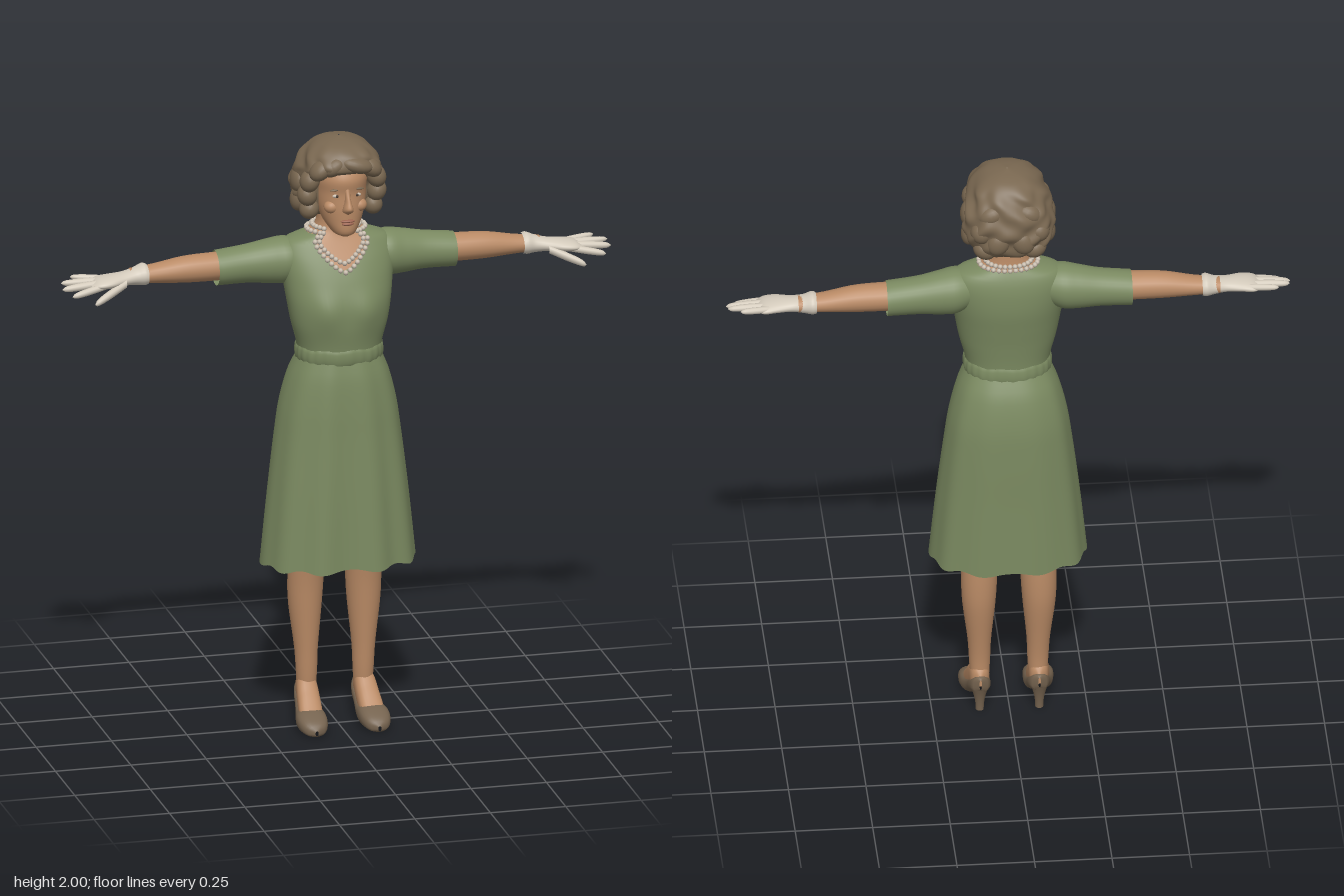
import * as THREE from 'three';
import { mergeGeometries } from 'three/addons/utils/BufferGeometryUtils.js';

const paint = (name, color, side = THREE.FrontSide) => {
  const m = new THREE.MeshStandardMaterial({ color, side });
  m.name = name;
  return m;
};

// Smooth interpolation of table rows; the first column is the key, ascending.
function at(rows, k) {
  let i = 0;
  while (i < rows.length - 2 && k > rows[i + 1][0]) i++;
  const a = rows[i], b = rows[i + 1], p = rows[i - 1] || a, n = rows[i + 2] || b;
  const h = b[0] - a[0], t = THREE.MathUtils.clamp((k - a[0]) / h, 0, 1);
  return a.map((_, c) => {
    const ma = ((b[c] - p[c]) / (b[0] - p[0])) * h, mb = ((n[c] - a[c]) / (n[0] - a[0])) * h;
    const d = b[c] - a[c];
    return a[c] + t * (ma + t * (3 * d - 2 * ma - mb + t * (ma + mb - 2 * d)));
  });
}

// Closed tube-like surface from point(u, v): u goes round, v runs along.
function skin(point, nu, nv) {
  const pos = [], idx = [];
  for (let j = 0; j <= nv; j++)
    for (let i = 0; i < nu; i++) pos.push(...point((i / nu) * Math.PI * 2, j / nv));
  for (let j = 0; j < nv; j++)
    for (let i = 0; i < nu; i++) {
      const a = j * nu + i, b = j * nu + ((i + 1) % nu);
      idx.push(a, b, a + nu, b, b + nu, a + nu);
    }
  const g = new THREE.BufferGeometry();
  g.setAttribute('position', new THREE.Float32BufferAttribute(pos, 3));
  g.setIndex(idx);
  g.computeVertexNormals();
  return g;
}

const bend = (v, e) => Math.sign(v) * Math.abs(v) ** e;
const span = (rows, v) => THREE.MathUtils.lerp(rows[0][0], rows[rows.length - 1][0], v);

// Point on an upright body; rows are [y, half width, front z, back z].
function bodyPoint(rows, u, y, e = 1) {
  const [, w, f, b] = at(rows, y);
  return [w * bend(Math.sin(u), e), y, (f + b) / 2 + ((f - b) / 2) * bend(Math.cos(u), e)];
}
const upright = (rows, e = 1, nu = 40, nv = 32) =>
  skin((u, v) => bodyPoint(rows, u, span(rows, v), e), nu, nv);

// Limb along x; rows are [x, centre y, centre z, radius y, radius z].
const alongX = (rows, nu = 20, nv = 20) => skin((u, v) => {
  const [x, y, z, ry, rz] = at(rows, span(rows, v));
  return [x, y + ry * Math.cos(u), z + rz * Math.sin(u)];
}, nu, nv);

// Foot along z; rows are [z, centre x, half width, bottom y, top y].
const alongZ = (rows) => skin((u, v) => {
  const [z, x, w, lo, hi] = at(rows, span(rows, v));
  return [x - w * bend(Math.sin(u), 0.8), (lo + hi) / 2 + ((hi - lo) / 2) * bend(Math.cos(u), 0.8), z];
}, 24, 28);

function blob([x, y, z], [rx, ry, rz], tilt = 0) {
  return new THREE.SphereGeometry(1, 20, 14).scale(rx, ry, rz).rotateZ(tilt).translate(x, y, z);
}

function mirrored(geo) {
  const g = geo.clone().scale(-1, 1, 1), ix = g.index;
  for (let i = 0; i < ix.count; i += 3) {
    const a = ix.getX(i);
    ix.setX(i, ix.getX(i + 1));
    ix.setX(i + 1, a);
  }
  return g;
}

export function createModel() {
  const model = new THREE.Group();
  const green = paint('dress green', 0x7a8960, THREE.DoubleSide);
  const flesh = paint('skin', 0xb98a65);
  const brown = paint('hair brown', 0x7a6851);
  const leather = paint('shoe brown', 0x75634f);
  const cloth = paint('glove ivory', 0xd3cabb);
  const pearl = paint('pearl', 0xc9bdae);
  const lip = paint('lip', 0x9c6450);
  const dark = paint('iris', 0x4a3b30);

  const add = (name, geo, mat) => {
    const m = new THREE.Mesh(geo, mat);
    m.name = name;
    model.add(m);
  };
  const pair = (name, geo, mat) => {
    add('left ' + name, geo, mat);
    add('right ' + name, mirrored(geo), mat);
  };

  // Torso: one surface, split at the scooped neckline into bodice and skin
  const torso = [
    [1.25, 0.135, 0.122, -0.097], [1.30, 0.138, 0.126, -0.095], [1.38, 0.158, 0.136, -0.102],
    [1.45, 0.170, 0.134, -0.112], [1.52, 0.180, 0.113, -0.121], [1.58, 0.189, 0.086, -0.120],
    [1.62, 0.186, 0.064, -0.113], [1.65, 0.160, 0.048, -0.102], [1.668, 0.100, 0.040, -0.092],
    [1.69, 0.068, 0.035, -0.085], [1.76, 0.060, 0.035, -0.080]];
  const torsoPoint = (u, y) => {
    const p = bodyPoint(torso, u, y, 0.9);
    if (p[2] > 0) p[2] += 0.011 * Math.exp(-(((Math.abs(p[0]) - 0.07) / 0.045) ** 2) - ((y - 1.43) / 0.06) ** 2);
    return p;
  };
  const neckline = (u, low, high) => {
    const a = Math.min(u, Math.PI * 2 - u);
    return low + (high - low) * THREE.MathUtils.smoothstep(a, -0.1, 0.75);
  };
  const edge = (u) => neckline(u, 1.558, 1.668);
  add('bodice', skin((u, v) => torsoPoint(u, THREE.MathUtils.lerp(1.25, edge(u), v)), 72, 44), green);
  add('neck and chest', skin((u, v) => torsoPoint(u, THREE.MathUtils.lerp(edge(u), 1.76, v)), 72, 24), flesh);

  // Gathered waistband
  add('waistband', skin((u, v) => {
    const y = 1.245 + 0.055 * v, p = bodyPoint(torso, u, Math.max(y, 1.25), 0.9);
    const s = 1 + 0.055 * Math.sin(v * Math.PI) ** 0.6 + 0.008 * Math.sin(26 * u);
    return [p[0] * s, y + 0.002 * Math.sin(9 * u), 0.014 + (p[2] - 0.014) * s];
  }, 120, 10), green);

  // Skirt with folds that deepen towards the hem
  const skirt = [
    [0.565, 0.252, 0.172, -0.172], [0.8, 0.228, 0.161, -0.165], [1.0, 0.204, 0.150, -0.160],
    [1.1, 0.189, 0.145, -0.153], [1.2, 0.163, 0.136, -0.130], [1.265, 0.136, 0.122, -0.097]];
  add('skirt', skin((u, v) => {
    const y = span(skirt, v), [x, , z] = bodyPoint(skirt, u, y, 0.85);
    const front = 0.5 + 0.5 * Math.cos(u);
    const s = 1 + (1 - v * 0.75) * (0.012 + 0.045 * front) * Math.cos(10 * u + Math.PI) * (0.75 + 0.25 * Math.sin(3 * u + 1));
    return [x * (1 + (s - 1) * 0.5), y + (1 - v) ** 8 * 0.006 * Math.cos(10 * u), z * s];
  }, 144, 36), green);

  // Sleeves and arms
  pair('sleeve', alongX([
    [0.11, 1.585, -0.030, 0.055, 0.060], [0.17, 1.576, -0.033, 0.076, 0.076], [0.22, 1.572, -0.038, 0.073, 0.070],
    [0.29, 1.568, -0.042, 0.063, 0.062], [0.395, 1.561, -0.043, 0.057, 0.060]], 32, 24), green);
  pair('arm', alongX([
    [0.25, 1.57, -0.043, 0.047, 0.050], [0.40, 1.567, -0.041, 0.046, 0.049], [0.50, 1.565, -0.042, 0.043, 0.046],
    [0.60, 1.559, -0.045, 0.031, 0.038], [0.68, 1.556, -0.045, 0.025, 0.033]]), flesh);

  // Gloves: cuff and palm, then spread fingers
  pair('glove', alongX([
    [0.622, 1.558, -0.046, 0.032, 0.041], [0.634, 1.559, -0.046, 0.036, 0.044], [0.66, 1.556, -0.044, 0.029, 0.037],
    [0.70, 1.553, -0.036, 0.022, 0.037], [0.75, 1.550, -0.028, 0.020, 0.048], [0.79, 1.547, -0.029, 0.016, 0.050],
    [0.815, 1.545, -0.031, 0.004, 0.036]], 24, 30), cloth);
  const fingers = {
    'index finger': [[0.77, 1.545, 0.004], [0.885, 1.523, 0.022], 0.0115],
    'middle finger': [[0.77, 1.549, -0.018], [0.910, 1.538, -0.013], 0.012],
    'ring finger': [[0.77, 1.550, -0.040], [0.906, 1.549, -0.046], 0.0115],
    'little finger': [[0.76, 1.550, -0.060], [0.868, 1.557, -0.080], 0.0105],
    'thumb': [[0.70, 1.545, -0.005], [0.815, 1.497, 0.042], 0.014]};
  for (const [name, [a, b, r]] of Object.entries(fingers))
    pair(name, alongX([[0, 1], [0.5, 1.05], [0.85, 0.85], [0.96, 0.5], [1, 0.02]].map(([t, k]) =>
      [...a.map((c, i) => c + (b[i] - c) * t), r * k, r * k]), 12, 16), cloth);

  // Legs
  const legs = [
    [0.09, 0.094, -0.043, 0.029, 0.034], [0.17, 0.094, -0.038, 0.034, 0.036], [0.25, 0.095, -0.040, 0.038, 0.042],
    [0.40, 0.097, -0.046, 0.054, 0.058], [0.48, 0.096, -0.044, 0.058, 0.062], [0.57, 0.094, -0.036, 0.057, 0.066],
    [0.75, 0.090, -0.020, 0.065, 0.075], [1.0, 0.085, -0.005, 0.075, 0.085]];
  pair('leg', skin((u, v) => {
    const [y, x, z, rx, rz] = at(legs, span(legs, v));
    return [x + rx * Math.sin(u), y, z + rz * Math.cos(u)];
  }, 28, 36), flesh);

  // Feet in heeled court shoes
  pair('foot', alongZ([
    [-0.088, 0.095, 0.006, 0.09, 0.13], [-0.07, 0.095, 0.026, 0.08, 0.155], [-0.03, 0.096, 0.034, 0.06, 0.165],
    [0.02, 0.099, 0.038, 0.03, 0.118], [0.06, 0.102, 0.038, 0.015, 0.078], [0.09, 0.103, 0.03, 0.015, 0.05]]), flesh);
  pair('shoe', alongZ([
    [-0.097, 0.095, 0.004, 0.09, 0.125], [-0.088, 0.095, 0.024, 0.072, 0.134], [-0.06, 0.095, 0.035, 0.062, 0.118],
    [-0.02, 0.097, 0.039, 0.038, 0.092], [0.02, 0.100, 0.045, 0.010, 0.074], [0.06, 0.103, 0.050, 0.001, 0.073],
    [0.10, 0.104, 0.046, 0.001, 0.058], [0.13, 0.104, 0.030, 0.002, 0.040], [0.141, 0.104, 0.005, 0.008, 0.024]]), leather);
  pair('shoe heel', alongHeel(), leather);
  function alongHeel() {
    return skin((u, v) => {
      const r = 0.013 + 0.016 * v * v;
      return [0.096 + r * Math.sin(u), 0.085 * v, -0.067 + r * Math.cos(u)];
    }, 18, 8);
  }
  pair('heel tip', new THREE.CylinderGeometry(0.013, 0.013, 0.006, 18).translate(0.096, 0.003, -0.067), leather);

  // Head and face
  add('head', upright([
    [1.683, 0.012, 0.110, 0.080], [1.69, 0.032, 0.122, 0.040], [1.705, 0.046, 0.129, 0.0], [1.735, 0.064, 0.130, -0.04],
    [1.78, 0.078, 0.131, -0.07], [1.83, 0.084, 0.129, -0.09], [1.88, 0.085, 0.133, -0.09], [1.94, 0.06, 0.10, -0.06]], 0.95), flesh);
  add('nose', upright([
    [1.766, 0.005, 0.138, 0.11], [1.775, 0.017, 0.152, 0.11], [1.788, 0.016, 0.164, 0.11],
    [1.81, 0.010, 0.153, 0.11], [1.835, 0.009, 0.138, 0.11], [1.86, 0.012, 0.128, 0.11]], 1, 20, 20), flesh);
  pair('cheek', blob([0.045, 1.785, 0.098], [0.026, 0.022, 0.024]), flesh);
  add('upper lip', blob([0, 1.742, 0.131], [0.024, 0.005, 0.009]), lip);
  add('lower lip', blob([0, 1.733, 0.131], [0.020, 0.006, 0.009]), lip);
  pair('eye', blob([0.034, 1.826, 0.118], [0.014, 0.006, 0.006]), pearl);
  pair('iris', blob([0.033, 1.826, 0.1225], [0.005, 0.005, 0.003]), dark);
  pair('eyebrow', blob([0.036, 1.847, 0.118], [0.021, 0.004, 0.007], -0.1), brown);

  // Waved hair: a rippled cap, with curls framing the face
  const cap = [
    [1.722, 0.03, -0.02, -0.07], [1.732, 0.092, 0.02, -0.103], [1.76, 0.125, 0.05, -0.124], [1.80, 0.143, 0.066, -0.136],
    [1.85, 0.144, 0.075, -0.140], [1.885, 0.140, 0.098, -0.134], [1.91, 0.132, 0.145, -0.124], [1.95, 0.110, 0.140, -0.104],
    [1.982, 0.070, 0.100, -0.066], [1.996, 0.025, 0.045, -0.015], [1.998, 0.002, 0.02, 0.01]];
  add('hair', skin((u, v) => {
    const y = span(cap, v), [x, , z] = bodyPoint(cap, u, y, 0.82);
    const wave = Math.sin(9 * u + 3 * Math.sin(26 * y)) + 0.8 * Math.sin(80 * y + 2.2 * Math.sin(4 * u));
    const s = 1 + 0.028 * wave * Math.min(1, (1 - v) * 5);
    return [x * s, y, 0.005 + (z - 0.005) * s];
  }, 112, 72), brown);
  const curls = [
    [[0.105, 1.765, 0.040], [0.032, 0.034, 0.036], 0.4], [[0.115, 1.815, 0.052], [0.032, 0.036, 0.036], -0.3],
    [[0.110, 1.868, 0.068], [0.032, 0.038, 0.038], 0.3], [[0.082, 1.912, 0.100], [0.042, 0.030, 0.040], -0.7],
    [[0.122, 1.785, -0.020], [0.030, 0.044, 0.040], 0.2], [[0.128, 1.850, -0.010], [0.026, 0.042, 0.046], 0.1],
    [[0.080, 1.755, -0.080], [0.040, 0.034, 0.038], 0.5], [[0.092, 1.825, -0.092], [0.036, 0.038, 0.038], -0.2],
    [[0.040, 1.795, -0.118], [0.036, 0.042, 0.026], 0.4], [[0.060, 1.890, -0.088], [0.048, 0.036, 0.040], -0.4]];
  curls.forEach(([p, r, tilt], i) => pair('curl ' + (i + 1), blob(p, r, tilt), brown));
  add('front wave', blob([0.030, 1.928, 0.118], [0.060, 0.028, 0.040], -0.25), brown);
  add('parting wave', blob([-0.042, 1.925, 0.112], [0.044, 0.030, 0.038], 0.5), brown);

  // Double string of pearls resting on the chest
  const bead = new THREE.SphereGeometry(0.0085, 8, 6);
  [[1.550, 1.672], [1.578, 1.684]].forEach(([low, high], k) => {
    const path = Array.from({ length: 64 }, (_, i) => {
      const u = (i / 64) * Math.PI * 2;
      const [x, y, z] = torsoPoint(u, neckline(u, low, high));
      return new THREE.Vector3(x + 0.004 * Math.sin(u), y + 0.004, z + 0.006 * Math.cos(u));
    });
    const beads = new THREE.CatmullRomCurve3(path, true).getSpacedPoints(42).slice(1);
    add(k ? 'inner pearls' : 'outer pearls', mergeGeometries(beads.map((p) => bead.clone().translate(p.x, p.y, p.z))), pearl);
  });

  return model;
}
